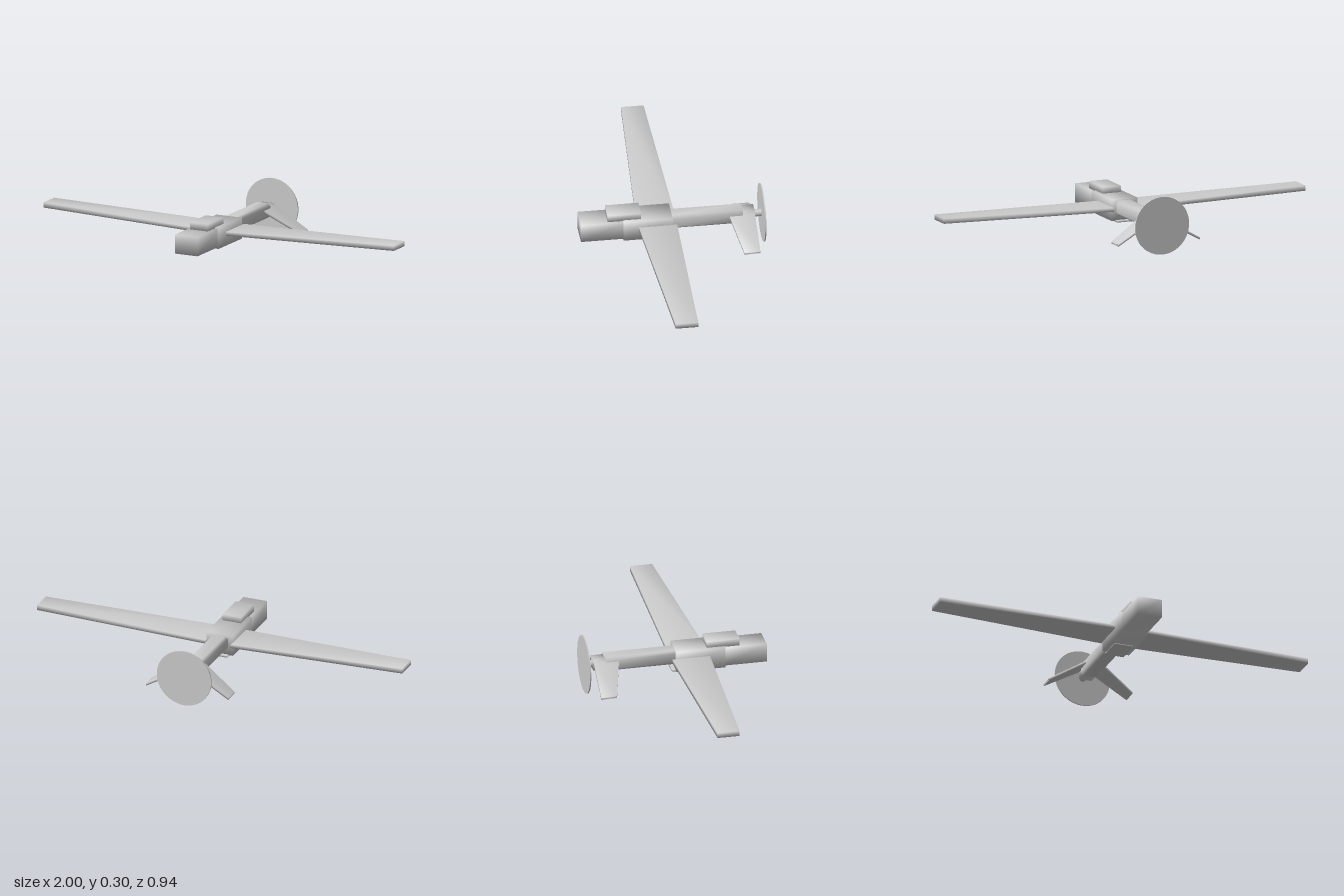
import * as THREE from 'three';
import { mergeVertices } from 'three/addons/utils/BufferGeometryUtils.js';

const material = new THREE.MeshStandardMaterial({ color: 0xcccccc });

// Shares corner vertices so the shading runs softly over the edges.
function soften(geometry) {
  geometry.deleteAttribute('normal');
  geometry.deleteAttribute('uv');
  const merged = mergeVertices(geometry, 1e-5);
  merged.computeVertexNormals();
  return merged;
}

function add(group, name, geometry) {
  const mesh = new THREE.Mesh(geometry, material);
  mesh.name = name;
  group.add(mesh);
  return mesh;
}

// Box symmetric about x = 0, given by half width and its y and z ranges.
function block(group, name, halfWidth, [y0, y1], [z0, z1]) {
  const geometry = new THREE.BoxGeometry(halfWidth * 2, y1 - y0, z1 - z0);
  geometry.translate(0, (y0 + y1) / 2, (z0 + z1) / 2);
  return add(group, name, soften(geometry));
}

// Tapered panel from a root section to a tip section, on the given side.
function panel(group, name, side, root, tip) {
  const geometry = new THREE.BoxGeometry(1, 1, 1);
  const p = geometry.attributes.position;
  for (let i = 0; i < p.count; i++) {
    const section = side * p.getX(i) > 0 ? tip : root;
    const y = p.getY(i) > 0 ? section.top : section.bottom;
    const z = p.getZ(i) > 0 ? section.front : section.back;
    p.setXYZ(i, side * section.x, y, z);
  }
  return add(group, name, soften(geometry));
}

export function createModel() {
  const model = new THREE.Group();
  model.name = 'aircraft';

  // Fuselage
  block(model, 'nose', 0.065, [0.097, 0.195], [0.24, 0.468]);
  block(model, 'centreBody', 0.072, [0.09, 0.199], [0, 0.252]);
  block(model, 'topFairing', 0.05, [0.19, 0.232], [0.16, 0.33]);
  block(model, 'bellyPlate', 0.05, [0.084, 0.093], [-0.02, 0.113]);

  // Tail boom with chamfered long edges
  const w = 0.045, h = 0.0375, c = 0.014;
  const outline = new THREE.Shape([
    [w, c - h], [w, h - c], [w - c, h], [c - w, h],
    [-w, h - c], [-w, c - h], [c - w, -h], [w - c, -h],
  ].map(([x, y]) => new THREE.Vector2(x, y)));
  const boom = new THREE.ExtrudeGeometry(outline, { depth: 0.37, bevelEnabled: false });
  boom.translate(0, 0.1545, -0.362);
  add(model, 'tailBoom', soften(boom));

  // Engine, shaft and propeller disc
  block(model, 'engine', 0.034, [0.125, 0.18], [-0.424, -0.35]);
  const shaft = new THREE.CylinderGeometry(0.019, 0.019, 0.045, 24);
  shaft.rotateX(Math.PI / 2);
  add(model, 'propellerShaft', shaft).position.set(0, 0.15, -0.441);
  const disc = new THREE.CylinderGeometry(0.149, 0.149, 0.006, 48);
  disc.rotateX(Math.PI / 2);
  add(model, 'propellerDisc', disc).position.set(0, 0.149, -0.464);

  // Wings and inverted-V tail fins
  for (const [side, label] of [[1, 'left'], [-1, 'right']]) {
    panel(model, label + 'Wing', side,
      { x: 0.07, bottom: 0.142, top: 0.162, front: 0.172, back: -0.022 },
      { x: 1, bottom: 0.155, top: 0.182, front: 0.115, back: 0 });
    panel(model, label + 'TailFin', side,
      { x: 0.03, bottom: 0.163, top: 0.177, front: -0.29, back: -0.423 },
      { x: 0.226, bottom: 0.051, top: 0.063, front: -0.345, back: -0.426 });
  }
  return model;
}
